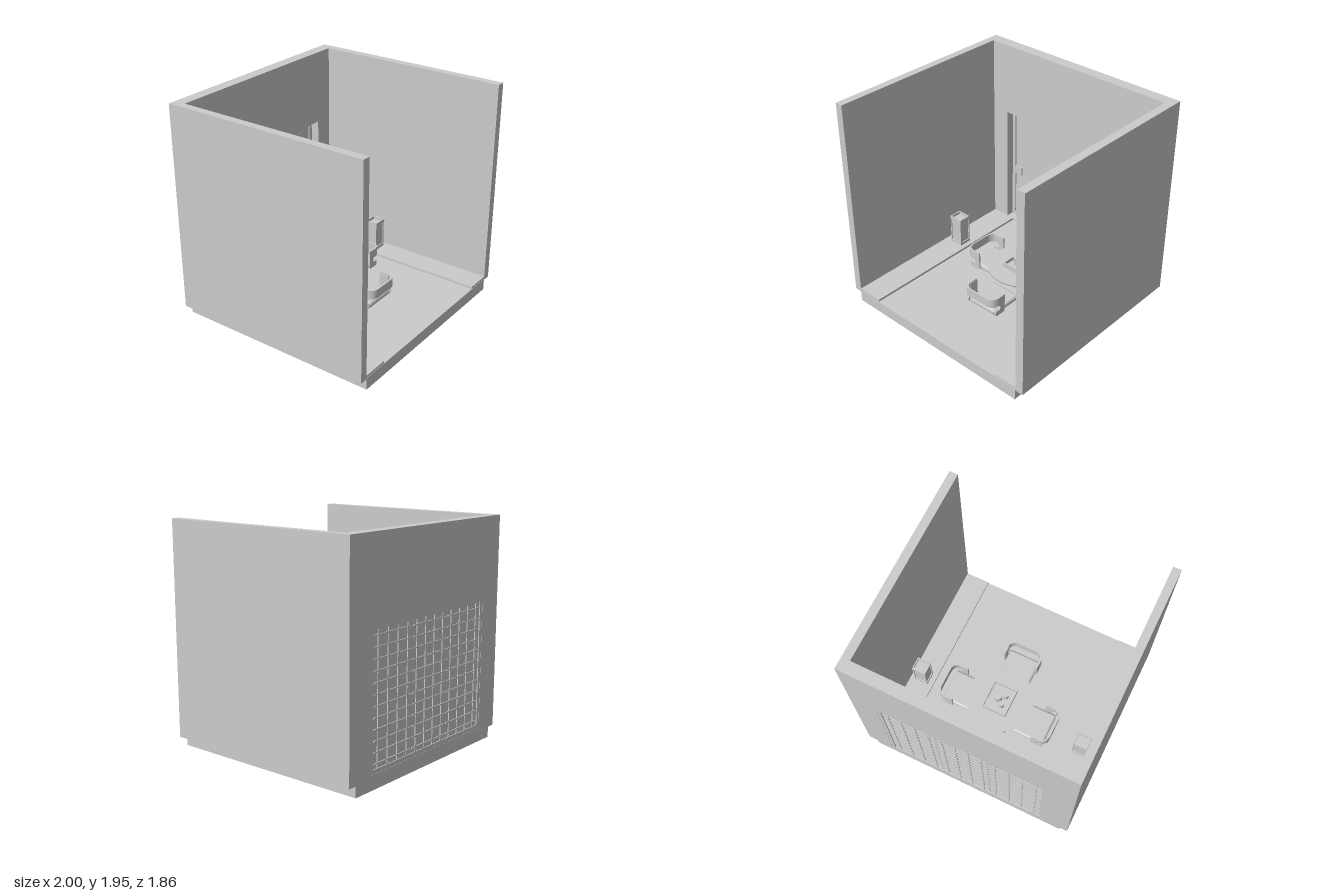
import * as THREE from 'three';
import { RoundedBoxGeometry } from 'three/addons/geometries/RoundedBoxGeometry.js';

const grey = new THREE.MeshStandardMaterial({ color: 0xcccccc });

function add(parent, name, geometry, x = 0, y = 0, z = 0) {
  const mesh = new THREE.Mesh(geometry, grey);
  mesh.name = name;
  mesh.position.set(x, y, z);
  parent.add(mesh);
  return mesh;
}

function group(parent, name, x = 0, y = 0, z = 0) {
  const g = new THREE.Group();
  g.name = name;
  g.position.set(x, y, z);
  parent.add(g);
  return g;
}

// Box given by its limits on each axis
function span(parent, name, x0, x1, y0, y1, z0, z1) {
  return add(parent, name, new THREE.BoxGeometry(x1 - x0, y1 - y0, z1 - z0),
    (x0 + x1) / 2, (y0 + y1) / 2, (z0 + z1) / 2);
}

function rectangle(path, x0, x1, y0, y1) {
  path.moveTo(x0, y0);
  path.lineTo(x1, y0);
  path.lineTo(x1, y1);
  path.lineTo(x0, y1);
  path.closePath();
  return path;
}

// Flat rectangular ring with a border of the given width
function ring(x0, x1, y0, y1, border, depth) {
  const shape = rectangle(new THREE.Shape(), x0, x1, y0, y1);
  shape.holes.push(rectangle(new THREE.Path(), x0 + border, x1 - border, y0 + border, y1 - border));
  return new THREE.ExtrudeGeometry(shape, { depth, bevelEnabled: false });
}

function buildRoom(root) {
  const room = group(root, 'room');
  span(room, 'floorSlab', -0.93, 0.92, 0, 0.107, -0.93, 0.93);
  span(room, 'leftFloorStep', 0.7, 0.925, 0.1, 0.128, -0.83, 0.927);
  span(room, 'rightFloorStep', -0.93, -0.69, 0.1, 0.128, -0.83, 0.927);
  span(room, 'leftWall', 0.925, 1, 0.095, 1.95, -0.934, 0.928);
  span(room, 'rightWall', -1, -0.93, 0.095, 1.95, -0.934, 0.928);
  const wall = rectangle(new THREE.Shape(), -0.93, 0.925, 0.095, 1.95);
  wall.holes.push(rectangle(new THREE.Path(), -0.765, 0.755, 0.125, 1.28));
  add(room, 'backWall', new THREE.ExtrudeGeometry(wall, { depth: 0.105, bevelEnabled: false }), 0, 0, -0.934);
}

// Three lattice screens filling the opening
function buildScreens(root) {
  const screens = group(root, 'slidingScreens');
  add(screens, 'screenFrame', ring(-0.765, 0.755, 0.125, 1.28, 0.035, 0.025), 0, 0, -0.932);
  [[-0.73, -0.24, -0.92], [-0.24, 0.23, -0.912], [0.23, 0.72, -0.92]].forEach(([x0, x1, z]) => {
    const screen = group(screens, 'screen');
    span(screen, 'screenPanel', x0, x1, 0.13, 1.25, -0.924, z);
    for (let i = 0; i < 4; i++) {
      const x = x0 + (i + 0.5) * (x1 - x0) / 4;
      span(screen, 'uprightBar', x - 0.005, x + 0.005, 0.16, 1.23, -0.932, -0.922);
    }
    for (let j = 0; j < 12; j++) {
      const y = 0.2 + j * 0.09;
      span(screen, 'crossBar', x0 + 0.01, x1 - 0.01, y - 0.005, y + 0.005, -0.932, -0.922);
      span(screen, 'frontSlat', x0 + 0.02, x1 - 0.02, y - 0.004, y + 0.004, z - 0.001, z + 0.002);
    }
  });
  for (const x of [-0.69, 0.27]) span(screens, 'screenHandle', x - 0.04, x + 0.04, 0.6, 0.68, -0.921, -0.908);
}

// Outline of the wrap-around back seen from above
function backrestShape() {
  const s = new THREE.Shape();
  s.moveTo(-0.172, 0.4);
  s.lineTo(-0.175, 0.47);
  s.quadraticCurveTo(-0.172, 0.557, -0.09, 0.557);
  s.lineTo(0.09, 0.557);
  s.quadraticCurveTo(0.172, 0.557, 0.175, 0.47);
  s.lineTo(0.172, 0.4);
  s.lineTo(0.158, 0.4);
  s.lineTo(0.161, 0.47);
  s.quadraticCurveTo(0.157, 0.543, 0.085, 0.543);
  s.lineTo(-0.085, 0.543);
  s.quadraticCurveTo(-0.157, 0.543, -0.161, 0.47);
  s.lineTo(-0.158, 0.4);
  s.closePath();
  return s;
}

// Side profile of the support under each arm (horizontal: towards the back)
function supportShape() {
  const s = new THREE.Shape();
  s.moveTo(0.4, 0.285);
  s.lineTo(0.4, 0.13);
  s.quadraticCurveTo(0.4, 0.11, 0.425, 0.11);
  s.lineTo(0.505, 0.11);
  s.quadraticCurveTo(0.518, 0.135, 0.505, 0.16);
  s.lineTo(0.475, 0.16);
  s.quadraticCurveTo(0.455, 0.16, 0.455, 0.18);
  s.quadraticCurveTo(0.455, 0.212, 0.49, 0.212);
  s.lineTo(0.49, 0.285);
  s.closePath();
  return s;
}

function buildChair(root, x, z, turn) {
  const chair = group(root, 'chair', x, 0, z);
  chair.rotation.y = turn;
  add(chair, 'seat', new RoundedBoxGeometry(0.306, 0.054, 0.313, 4, 0.024), 0, 0.134, 0.358);
  const back = new THREE.ExtrudeGeometry(backrestShape(), { depth: 0.083, bevelEnabled: false, curveSegments: 12 });
  back.rotateX(Math.PI / 2);
  add(chair, 'backrest', back, 0, 0.294, 0);
  const support = new THREE.ExtrudeGeometry(supportShape(), { depth: 0.014, bevelEnabled: false, curveSegments: 8 });
  support.rotateY(-Math.PI / 2);
  for (const side of [-1, 1]) add(chair, 'armSupport', support, side * 0.162 + 0.007, 0, 0);
}

function buildTable(root) {
  const table = group(root, 'table', 0.047, 0, -0.14);
  add(table, 'tableTop', new THREE.CylinderGeometry(0.31, 0.305, 0.016, 64), 0, 0.282, 0);
  const profile = [[0, 0.107], [0.11, 0.107], [0.11, 0.115], [0.06, 0.13], [0.03, 0.16], [0.025, 0.22], [0.04, 0.275]];
  add(table, 'pedestal', new THREE.LatheGeometry(profile.map(p => new THREE.Vector2(...p)), 32));

  const tray = group(root, 'tray', 0.048, 0.29, -0.144);
  add(tray, 'trayBase', new THREE.BoxGeometry(0.22, 0.012, 0.255), 0, 0.006, 0);
  const rim = ring(-0.116, 0.116, -0.134, 0.134, 0.011, 0.045);
  rim.rotateX(-Math.PI / 2);
  add(tray, 'trayRim', rim);
  add(tray, 'tallCup', new THREE.CylinderGeometry(0.034, 0.034, 0.1, 32), 0.012, 0.062, -0.008);
  for (const z of [-0.053, 0.04]) {
    add(tray, 'smallCup', new THREE.CylinderGeometry(0.027, 0.024, 0.075, 32), -0.04, 0.05, z);
  }
}

function buildLantern(root, x) {
  const lantern = group(root, 'floorLantern', x, 0.128, -0.203);
  add(lantern, 'lanternBody', new THREE.BoxGeometry(0.112, 0.245, 0.1), 0, 0.133, 0);
  for (const y of [0, 0.254]) {
    const band = ring(-0.066, 0.066, -0.06, 0.06, 0.01, 0.028);
    band.rotateX(-Math.PI / 2);
    add(lantern, 'lanternBand', band, 0, y, 0);
  }
  for (const sx of [-1, 1]) for (const sz of [-1, 1]) {
    add(lantern, 'lanternPost', new THREE.BoxGeometry(0.009, 0.27, 0.009), sx * 0.06, 0.14, sz * 0.054);
  }
}

export function createModel() {
  const root = new THREE.Group();
  root.name = 'diningRoom';
  buildRoom(root);
  buildScreens(root);
  buildTable(root);
  buildChair(root, 0.043, -0.125, 0);
  buildChair(root, 0.043, -0.125, Math.PI);
  buildChair(root, 0.043, -0.17, Math.PI / 2);
  buildChair(root, 0.043, -0.17, -Math.PI / 2);
  for (const x of [-0.8, 0.815]) buildLantern(root, x);
  return root;
}
